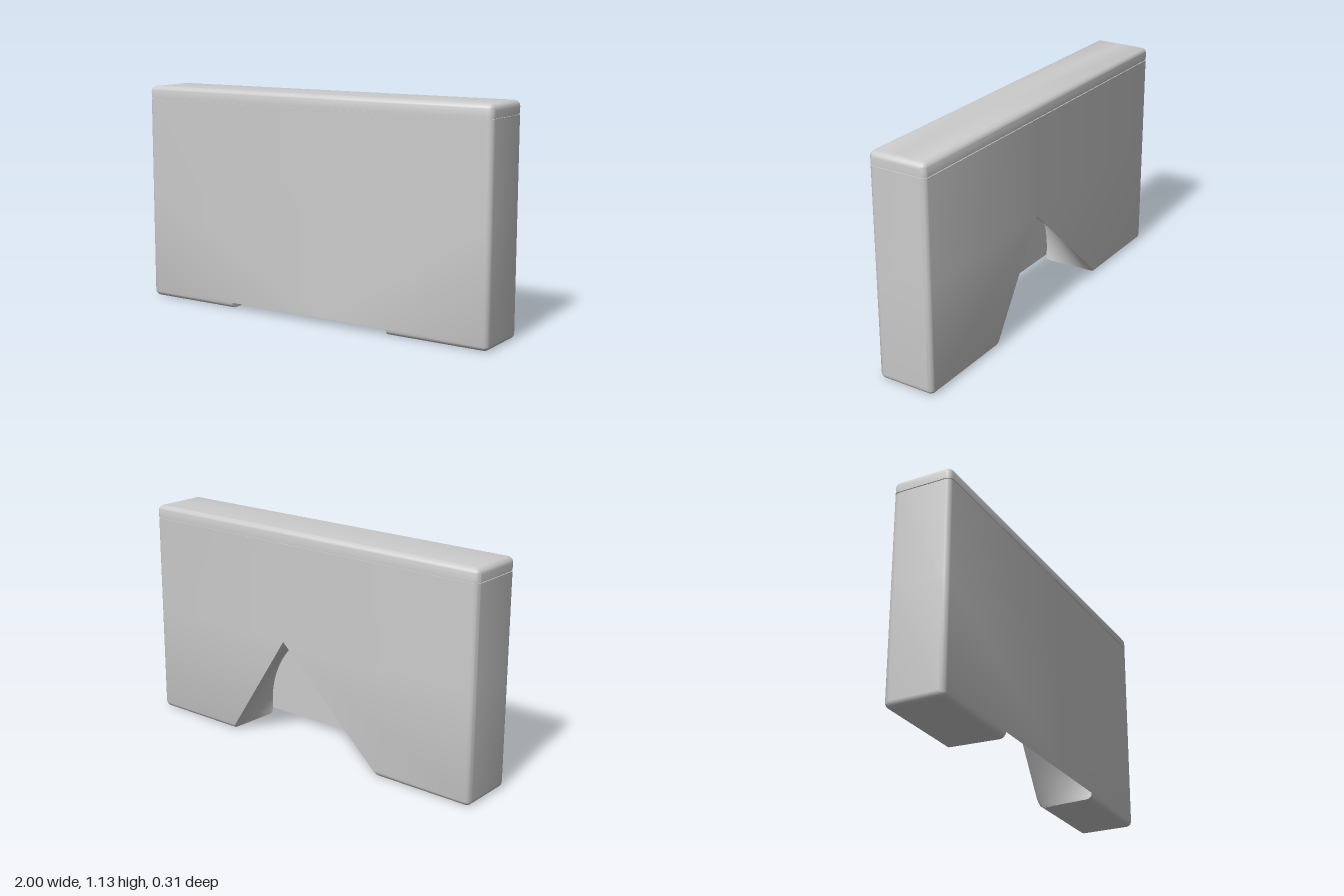
import * as THREE from 'three';
import { mergeGeometries, toCreasedNormals } from 'three/addons/utils/BufferGeometryUtils.js';

const H = 1.13, D = 0.153, R = 0.03;            // height, half depth, edge radius
const SEAM = 1.065, GROOVE = 0.005;             // lid seam
const BACK = 0.48, FRONT = 0.463;               // half widths of the notch at the ground
const APEX = { x: 0.12, y: 0.56 };              // tip of the triangular back opening
const lerp = THREE.MathUtils.lerp;

// Skin a grid of points given as rows
function grid(rows, flip = false) {
  const n = rows[0].length, index = [];
  for (let i = 0; i < rows.length - 1; i++) {
    for (let j = 0; j < n - 1; j++) {
      const a = i * n + j, b = a + 1, c = a + n, d = c + 1;
      index.push(...(flip ? [a, b, c, b, d, c] : [a, c, b, b, c, d]));
    }
  }
  const g = new THREE.BufferGeometry();
  g.setAttribute('position', new THREE.Float32BufferAttribute(rows.flat(2), 3));
  g.setIndex(index);
  return g;
}

// Half of a rounded outline at one height, running from the back around one end to the front
function outline(side, y, inset, frontX) {
  const backX = lerp(side * BACK, APEX.x, Math.min(1, y / APEX.y));
  const row = [[backX, y, -D + inset]];
  for (let k = 0; k <= 12; k++) {
    const a = -Math.PI / 2 + (Math.floor(k / 6.5) * Math.PI) / 2 + ((k <= 6 ? k : k - 7) / (k <= 6 ? 6 : 5)) * Math.PI / 2;
    const r = R - inset, cz = (k <= 6 ? -1 : 1) * (D - R);
    row.push([side * (1 - R + r * Math.cos(a)), y, cz + r * Math.sin(a)]);
  }
  row.push([frontX, y, D - inset]);
  return row;
}

const fillet = Array.from({ length: 7 }, (_, i) => {
  const a = (i / 6) * Math.PI / 2;
  return [R * (1 - Math.cos(a)), R * (1 - Math.sin(a))];   // height, inset
});

function bodyGeometry() {
  const parts = [];
  for (const s of [1, -1]) {
    // rounded foot edge, open across the notch
    parts.push(grid(fillet.map(([y, i]) => outline(s, y, i, s * FRONT)), s < 0));
    // walls up to the groove below the lid
    const levels = [[R, 0], [APEX.y, 0], [SEAM - GROOVE / 2, 0], [SEAM - GROOVE / 2, GROOVE]];
    parts.push(grid(levels.map(([y, i]) => outline(s, y, i, APEX.x)), s < 0));
    // flat sole
    const z = D - R;
    parts.push(grid([
      [[s * BACK, 0, -z], [s * (1 - R), 0, -z]],
      [[s * FRONT, 0, z], [s * (1 - R), 0, z]],
    ], s > 0));
  }
  return toCreasedNormals(mergeGeometries(parts), 0.6);
}

function lidGeometry() {
  const y0 = SEAM + GROOVE / 2;
  const levels = [[SEAM - GROOVE / 2, GROOVE], [y0, GROOVE], [y0, 0],
    ...fillet.map(([y, i]) => [H - y, i]).reverse()];
  const parts = [1, -1].map((s) => {
    const rows = levels.map(([y, i]) => outline(s, y, i, APEX.x));
    rows.push(rows.at(-1).map(([x]) => [x, H, 0]));        // top closes on the middle line
    return grid(rows, s < 0);
  });
  return toCreasedNormals(mergeGeometries(parts), 0.6);
}

// Notch: a triangle at the back blending into a round arch at the front
const STEPS = 60, TIP = 27, ARC_Y = 0.073, ARC_R = 0.469;
function triangleAt(k) {
  return k <= TIP
    ? [lerp(BACK, APEX.x, k / TIP), APEX.y * k / TIP]
    : [lerp(APEX.x, -BACK, (k - TIP) / (STEPS - TIP)), APEX.y * (STEPS - k) / (STEPS - TIP)];
}
function archAt(k) {
  const dip = Math.asin(ARC_Y / ARC_R), a = lerp(-dip, Math.PI + dip, k / STEPS);
  return [ARC_R * Math.cos(a), ARC_Y + ARC_R * Math.sin(a)];
}

function notchGeometry() {
  const zs = [];
  for (let i = 0; i <= 5; i++) zs.push(-D + R * i / 5);
  for (let i = 1; i < 8; i++) zs.push(lerp(-D + R, D - R, i / 8));
  for (let i = 0; i <= 5; i++) zs.push(D - R + R * i / 5);
  const rows = zs.map((z) => {
    const f = (z + D) / (2 * D), out = Math.max(0, Math.abs(z) - D + R);
    const floor = R - Math.sqrt(Math.max(0, R * R - out * out));
    return Array.from({ length: STEPS + 1 }, (_, k) => {
      const a = triangleAt(k), b = archAt(k);
      return [lerp(a[0], b[0], f), Math.max(floor, lerp(a[1], b[1], f)), z];
    });
  });
  return toCreasedNormals(grid(rows), 0.6);
}

// Inner face of the thin front wall
function frontWallGeometry() {
  const z = D - 0.003;
  const arch = Array.from({ length: STEPS + 1 }, (_, k) => {
    const [x, y] = archAt(k);
    return [x, Math.max(R, y), z];
  });
  return toCreasedNormals(grid([arch, arch.map(([x]) => [x, R, z])]), 0.6);
}

export function createModel() {
  const group = new THREE.Group();
  group.name = 'notchedBlock';
  const material = new THREE.MeshStandardMaterial({ color: 0xcccccc });
  const parts = {
    body: bodyGeometry(),
    lid: lidGeometry(),
    notchSurface: notchGeometry(),
    frontWallInside: frontWallGeometry(),
  };
  for (const [name, geometry] of Object.entries(parts)) {
    const mesh = new THREE.Mesh(geometry, material);
    mesh.name = name;
    group.add(mesh);
  }
  return group;
}
